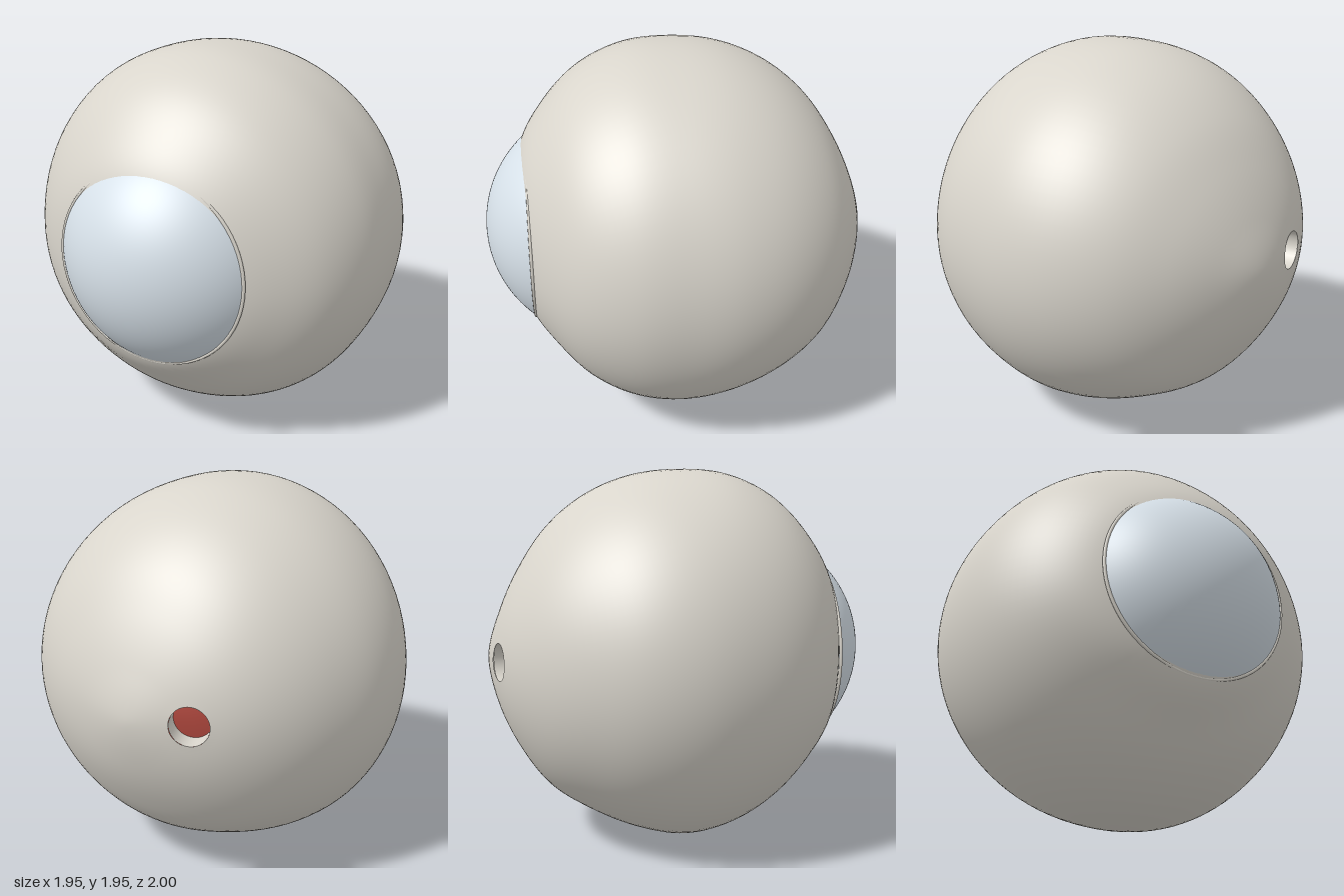
import * as THREE from 'three';
import { mergeVertices } from 'three/addons/utils/BufferGeometryUtils.js';

const CENTER_Y = 0.975;
const UP = new THREE.Vector3(0, 1, 0);
const HOLE_DIR = new THREE.Vector3(-0.31, 0.02, -0.95).normalize();
const HOLE_RADIUS = 0.095;

// Radius of the ball along four meridians, every 15 degrees from front (+z) to back.
const meridian = (radii) =>
  new THREE.SplineCurve(radii.map((r, i) => new THREE.Vector2(i / (radii.length - 1), r)));
const top = meridian([0.8, 0.86, 0.922, 0.95, 0.98, 0.988, 0.975, 0.975, 0.972, 0.963, 0.953, 0.965, 1]);
const bottom = meridian([0.8, 0.86, 0.908, 0.903, 0.93, 0.96, 0.975, 0.955, 0.95, 0.97, 0.967, 0.98, 1]);
const left = meridian([0.8, 0.86, 0.9, 0.93, 0.97, 0.98, 0.97, 0.985, 0.997, 0.997, 0.985, 0.982, 1]);
const right = meridian([0.8, 0.86, 0.895, 0.92, 0.937, 0.953, 0.975, 0.985, 0.978, 0.98, 0.985, 0.985, 1]);

// Blend the side and vertical meridians around the z axis.
function ballRadius(d) {
  const t = Math.acos(THREE.MathUtils.clamp(d.z, -1, 1)) / Math.PI;
  const across = d.x * d.x + d.y * d.y;
  const vertical = across > 1e-8 ? (d.y * d.y) / across : 0.5;
  const side = d.x > 0 ? left : right;
  const pole = d.y > 0 ? top : bottom;
  return side.getPoint(t).y * (1 - vertical) + pole.getPoint(t).y * vertical;
}

// A sphere with its pole on the hole axis, shaped by the meridians.
function ballGeometry(scale, opening) {
  let geo = new THREE.SphereGeometry(1, 96, 72, 0, Math.PI * 2, opening, Math.PI - opening);
  geo.applyQuaternion(new THREE.Quaternion().setFromUnitVectors(UP, HOLE_DIR));
  geo.deleteAttribute('uv');
  geo.deleteAttribute('normal');
  geo = mergeVertices(geo, 1e-5);
  const pos = geo.attributes.position;
  const d = new THREE.Vector3();
  for (let i = 0; i < pos.count; i++) {
    d.fromBufferAttribute(pos, i).normalize();
    d.multiplyScalar(ballRadius(d) * scale);
    pos.setXYZ(i, d.x, d.y, d.z);
  }
  geo.computeVertexNormals();
  return geo;
}

export function createModel() {
  const group = new THREE.Group();
  const white = new THREE.MeshStandardMaterial({ color: 0xd9d5cc, side: THREE.DoubleSide });
  const clear = new THREE.MeshStandardMaterial({ color: 0xd6e0e8, side: THREE.DoubleSide });
  const red = new THREE.MeshStandardMaterial({ color: 0xb0483e });

  const add = (name, geo, mat, parent = group) => {
    const mesh = new THREE.Mesh(geo, mat);
    mesh.name = name;
    parent.add(mesh);
    return mesh;
  };

  // Outer ball with the round opening at the back, and the red layer inside it
  const rim = ballRadius(HOLE_DIR);
  const opening = Math.asin(HOLE_RADIUS / rim);
  add('outerBall', ballGeometry(1, opening), white).position.y = CENTER_Y;
  add('innerLayer', ballGeometry(0.9, 0), red).position.y = CENTER_Y;

  // Wall of the opening
  const depth = 0.12;
  const wall = add('nerveOpeningWall',
    new THREE.CylinderGeometry(HOLE_RADIUS, HOLE_RADIUS, depth, 32, 1, true), white);
  wall.quaternion.setFromUnitVectors(UP, HOLE_DIR);
  wall.position.copy(HOLE_DIR).multiplyScalar(rim * Math.cos(opening) - depth / 2);
  wall.position.y += CENTER_Y;

  // Bulging front dome, tilted slightly, with a thin lip around it
  const front = new THREE.Group();
  front.name = 'cornea';
  front.position.set(0.05, 1.01, 0.765);
  front.quaternion.setFromUnitVectors(new THREE.Vector3(0, 0, 1),
    new THREE.Vector3(0.05, 0.025, 1).normalize());
  group.add(front);
  const baseRadius = 0.487, height = 0.235;
  const capRadius = (baseRadius ** 2 + height ** 2) / (2 * height);
  const cap = new THREE.SphereGeometry(capRadius, 72, 32, 0, Math.PI * 2, 0,
    Math.asin(baseRadius / capRadius));
  cap.rotateX(Math.PI / 2).translate(0, 0, height - capRadius);
  add('corneaDome', cap, clear, front);
  add('corneaLip', new THREE.TorusGeometry(baseRadius, 0.009, 8, 72), white, front);

  return group;
}
